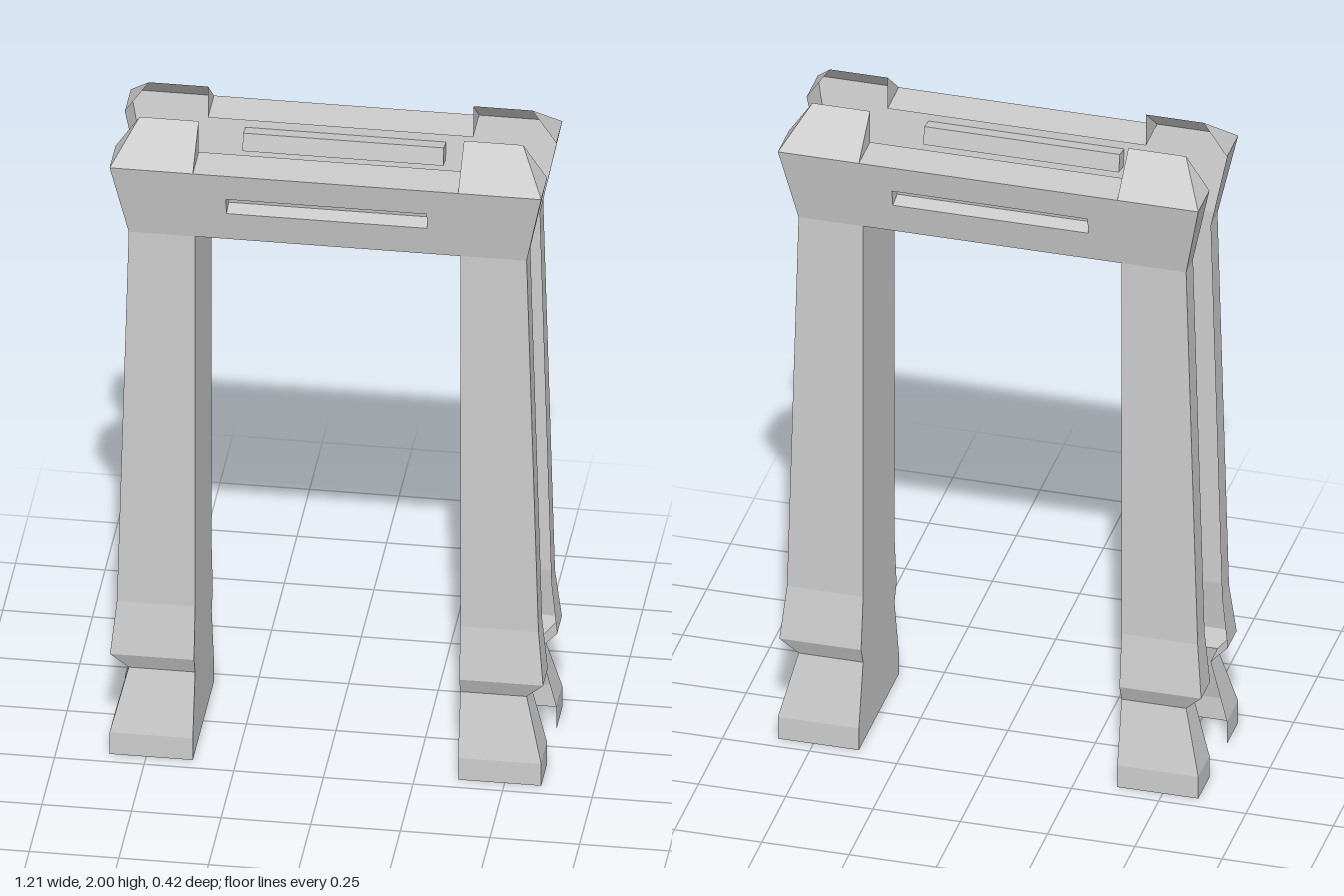
import * as THREE from 'three';

const material = new THREE.MeshStandardMaterial({ color: 0xcccccc, flatShading: true, side: THREE.DoubleSide });

const INNER = 0.37;   // half width of the opening
const SLOT = 0.092;   // half depth of the gap for the wall
const HEAD = 1.67;    // underside of the lintel
const TOP = 1.9;      // top of the lintel

// Leg profile: height, outer x, outer z
const LEG = [
  [0, 0.602, 0.209], [0.07, 0.602, 0.209], [0.258, 0.555, 0.164],
  [0.31, 0.604, 0.186], [0.47, 0.588, 0.164], [HEAD, 0.555, 0.164],
];
const CORNER = [TOP, 0.602, 0.209];

// Depth of the sloping lintel face at height y
const lintelZ = (y) => THREE.MathUtils.lerp(0.164, 0.209, (y - HEAD) / (TOP - HEAD));

function part(name, geometry) {
  const mesh = new THREE.Mesh(geometry, material);
  mesh.name = name;
  return mesh;
}

// Joins rows of points with quads; side = -1 mirrors in x and keeps faces outward
function skin(rows, side = 1) {
  const out = [];
  const tri = (a, b, c) => {
    if (new THREE.Triangle(a, b, c).getArea() < 1e-8) return;
    for (const p of side > 0 ? [a, b, c] : [a, c, b]) out.push(p.x * side, p.y, p.z);
  };
  const pts = rows.map((row) => row.map((p) => new THREE.Vector3(...p)));
  for (let i = 0; i + 1 < pts.length; i++) {
    for (let j = 0; j + 1 < pts[i].length; j++) {
      const a = pts[i][j], b = pts[i][j + 1], c = pts[i + 1][j + 1], d = pts[i + 1][j];
      tri(a, b, c);
      tri(a, c, d);
    }
  }
  const geometry = new THREE.BufferGeometry();
  geometry.setAttribute('position', new THREE.Float32BufferAttribute(out, 3));
  geometry.computeVertexNormals();
  return geometry;
}

// Sloping lintel face with a slot cut through it
function lintelFace(slot) {
  const v = (x, y) => new THREE.Vector2(x, y);
  const shape = new THREE.Shape([v(-0.555, HEAD), v(0.555, HEAD), v(CORNER[1], TOP), v(-CORNER[1], TOP)]);
  shape.holes.push(new THREE.Path(slot.map(([x, y]) => v(x, y))));
  const geometry = new THREE.ShapeGeometry(shape);
  const p = geometry.attributes.position;
  for (let i = 0; i < p.count; i++) p.setZ(i, lintelZ(p.getY(i)));
  geometry.computeVertexNormals();
  return geometry;
}

// One face of the frame: two legs, two corner caps and the lintel
function createHalf(name) {
  const half = new THREE.Group();
  half.name = name;

  for (const side of [1, -1]) {
    const label = side > 0 ? 'left' : 'right';
    // Front and outer return of the leg
    half.add(part(label + 'Leg', skin(LEG.map(([y, x, z]) => [[INNER, y, z], [x, y, z], [x, y, SLOT]]), side)));
    // Outer return of the lintel
    half.add(part(label + 'LintelEnd', skin(
      [LEG.at(-1), CORNER].map(([y, x, z]) => [[x, y, z], [x, y, SLOT]]), side)));
    // Sloping cap above the corner
    const [y, x, z] = CORNER;
    half.add(part(label + 'CornerCap', skin([
      [[INNER, y, SLOT], [INNER, y, z], [x, y, z], [x, y, SLOT]],
      [[INNER, 2, SLOT], [INNER, 2, SLOT], [0.535, 2, SLOT], [0.535, 2, SLOT]],
    ], side)));
  }

  // Lintel face and top
  const slot = [[-0.28, 1.763], [0.28, 1.763], [0.28, 1.815], [-0.28, 1.815]];
  half.add(part('lintelFace', lintelFace(slot)));
  half.add(part('lintelTop', skin([
    [[-INNER, TOP, 0.209], [INNER, TOP, 0.209]],
    [[-INNER, TOP, SLOT], [INNER, TOP, SLOT]],
  ])));

  // Recess behind the slot, sunk square to the sloping face
  const mouth = slot.map(([x, y]) => [x, y, lintelZ(y)]);
  const floor = mouth.map(([x, y, z]) => [x, y + 0.009, z - 0.046]);
  const loop = (ring) => [...ring, ring[0]];
  half.add(part('slotWalls', skin([loop(floor), loop(mouth)].reverse())));
  half.add(part('slotFloor', skin([[floor[0], floor[1]], [floor[3], floor[2]]])));
  return half;
}

export function createModel() {
  const model = new THREE.Group();
  model.name = 'doorFrame';

  const front = createHalf('frontFrame');
  const back = createHalf('backFrame');
  back.rotation.y = Math.PI;
  model.add(front, back);

  // Inner jambs facing the opening, following the leg profile
  for (const side of [1, -1]) {
    model.add(part(side > 0 ? 'leftJamb' : 'rightJamb',
      skin(LEG.map(([y, , z]) => [[INNER, y, -z], [INNER, y, z]]), side)));
  }

  // Underside of the lintel
  model.add(part('lintelUnderside', skin([
    [[-INNER, HEAD, -0.164], [INNER, HEAD, -0.164]],
    [[-INNER, HEAD, 0.164], [INNER, HEAD, 0.164]],
  ])));
  return model;
}
